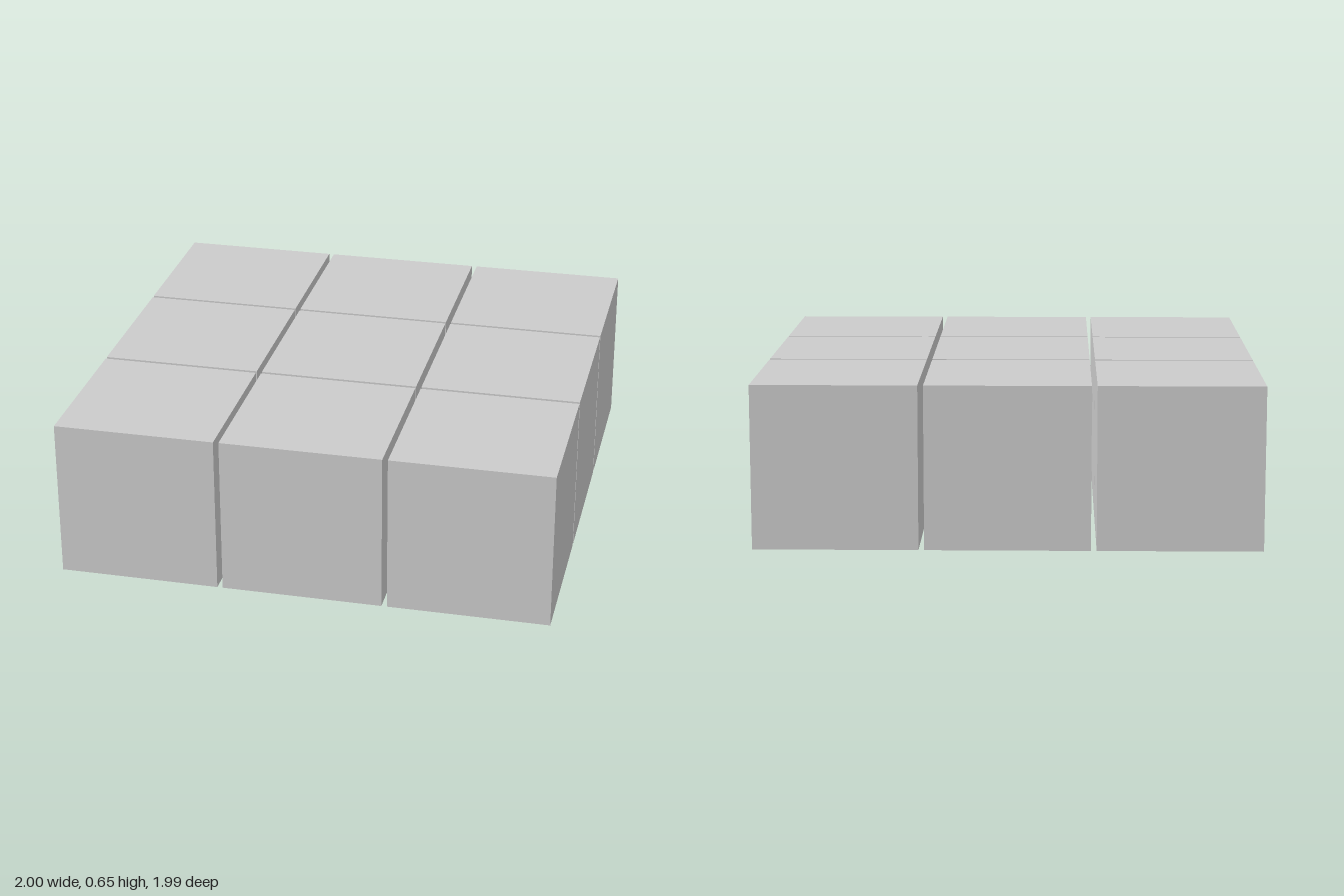
import * as THREE from 'three';

export function createModel() {
  const model = new THREE.Group();
  model.name = 'blockGrid';

  const size = 0.652;
  const pitchX = 0.674; // wider gap between columns
  const pitchZ = 0.667; // narrower gap between rows
  const geometry = new THREE.BoxGeometry(size, size, size);
  const material = new THREE.MeshStandardMaterial({ color: 0xcccccc });

  // Three rows of three separate cubes standing on the ground
  const rows = ['back', 'middle', 'front'];
  const columns = ['Right', 'Centre', 'Left'];
  rows.forEach((row, r) => {
    columns.forEach((column, c) => {
      const cube = new THREE.Mesh(geometry, material);
      cube.name = `${row}${column}Cube`;
      cube.position.set((c - 1) * pitchX, size / 2, (r - 1) * pitchZ);
      model.add(cube);
    });
  });

  return model;
}
